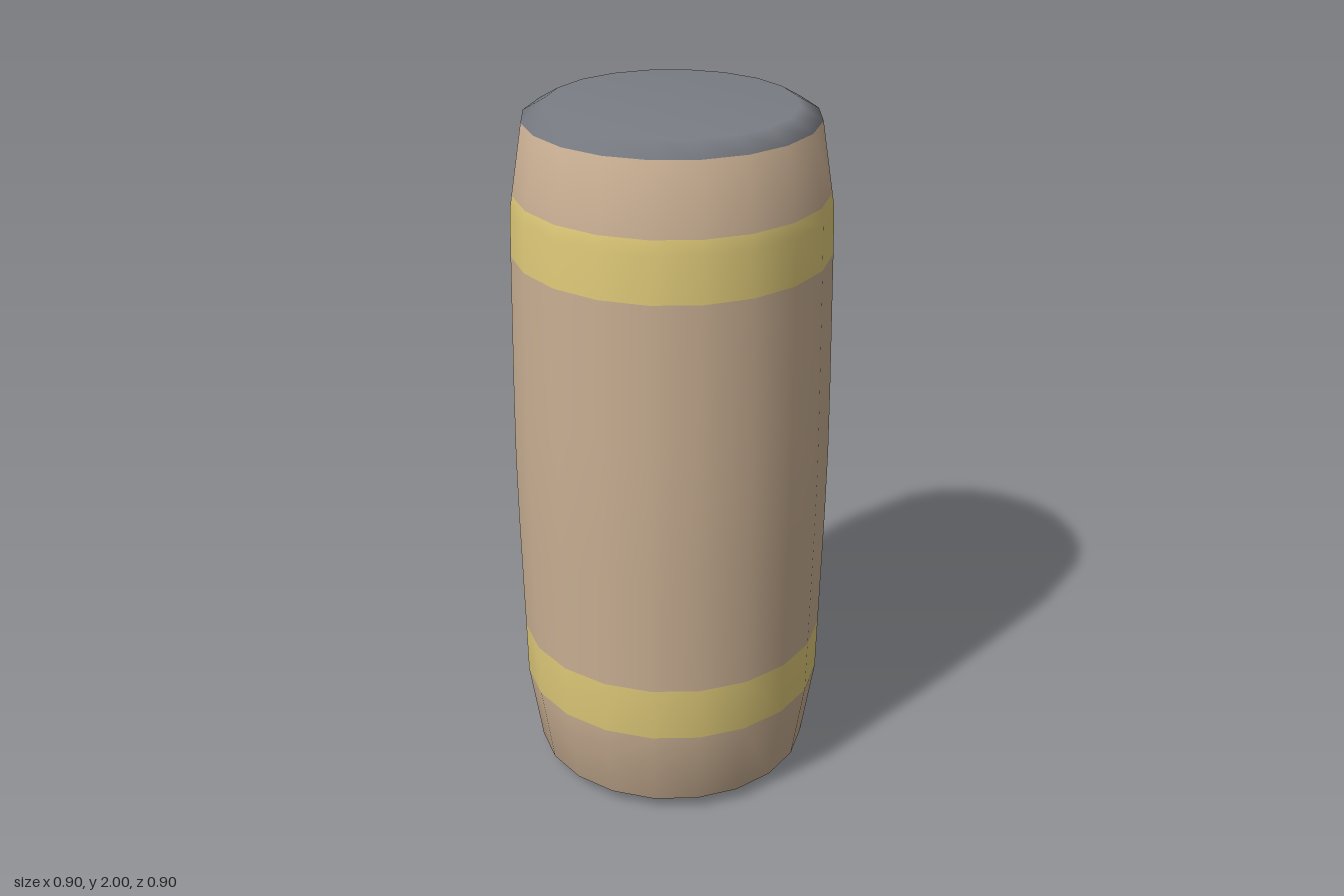
import * as THREE from 'three';

const SIDES = 20;

export function createModel() {
  const mat = (name, color) => {
    const m = new THREE.MeshStandardMaterial({ color });
    m.name = name;
    return m;
  };
  const wood = mat('tan wood', 0xc8ae92);
  const gold = mat('gold hoop', 0xdfca79);
  const steel = mat('grey steel', 0x7a7d84);

  // Each step: radius, height, then part name and material of the band above it
  const profile = [
    [0, 0, 'base', wood],
    [0.34, 0, 'bottomRim', steel],
    [0.4, 0.04, 'lowerStaves', wood],
    [0.437, 0.28, 'lowerHoop', gold],
    [0.44, 0.44, 'middleStaves', wood],
    [0.447, 0.8, 'middleStaves', wood],
    [0.449, 1.0, 'middleStaves', wood],
    [0.447, 1.2, 'middleStaves', wood],
    [0.44, 1.6, 'upperHoop', gold],
    [0.437, 1.73, 'upperHoop', gold],
    [0.431, 1.77, 'upperStaves', wood],
    [0.4, 1.965, 'lid', steel],
    [0.34, 2, 'lid', steel],
    [0, 2],
  ];

  // One smooth lathe supplies shared normals across all bands
  const lathe = new THREE.LatheGeometry(profile.map(([r, y]) => new THREE.Vector2(r, y)), SIDES);
  const n = profile.length;

  // Gather the quads of each named band
  const bands = new Map();
  for (let j = 0; j < n - 1; j++) {
    const [, , name, material] = profile[j];
    if (!bands.has(name)) bands.set(name, { material, index: [] });
    const { index } = bands.get(name);
    for (let i = 0; i < SIDES; i++) {
      const a = i * n + j, b = a + n;
      if (profile[j][0] > 0) index.push(a, b, a + 1);
      if (profile[j + 1][0] > 0) index.push(b + 1, a + 1, b);
    }
  }

  const barrel = new THREE.Group();
  barrel.name = 'barrel';
  for (const [name, { material, index }] of bands) {
    const g = new THREE.BufferGeometry();
    g.setAttribute('position', lathe.attributes.position);
    g.setAttribute('normal', lathe.attributes.normal);
    g.setIndex(index);
    const mesh = new THREE.Mesh(g, material);
    mesh.name = name;
    barrel.add(mesh);
  }
  return barrel;
}
